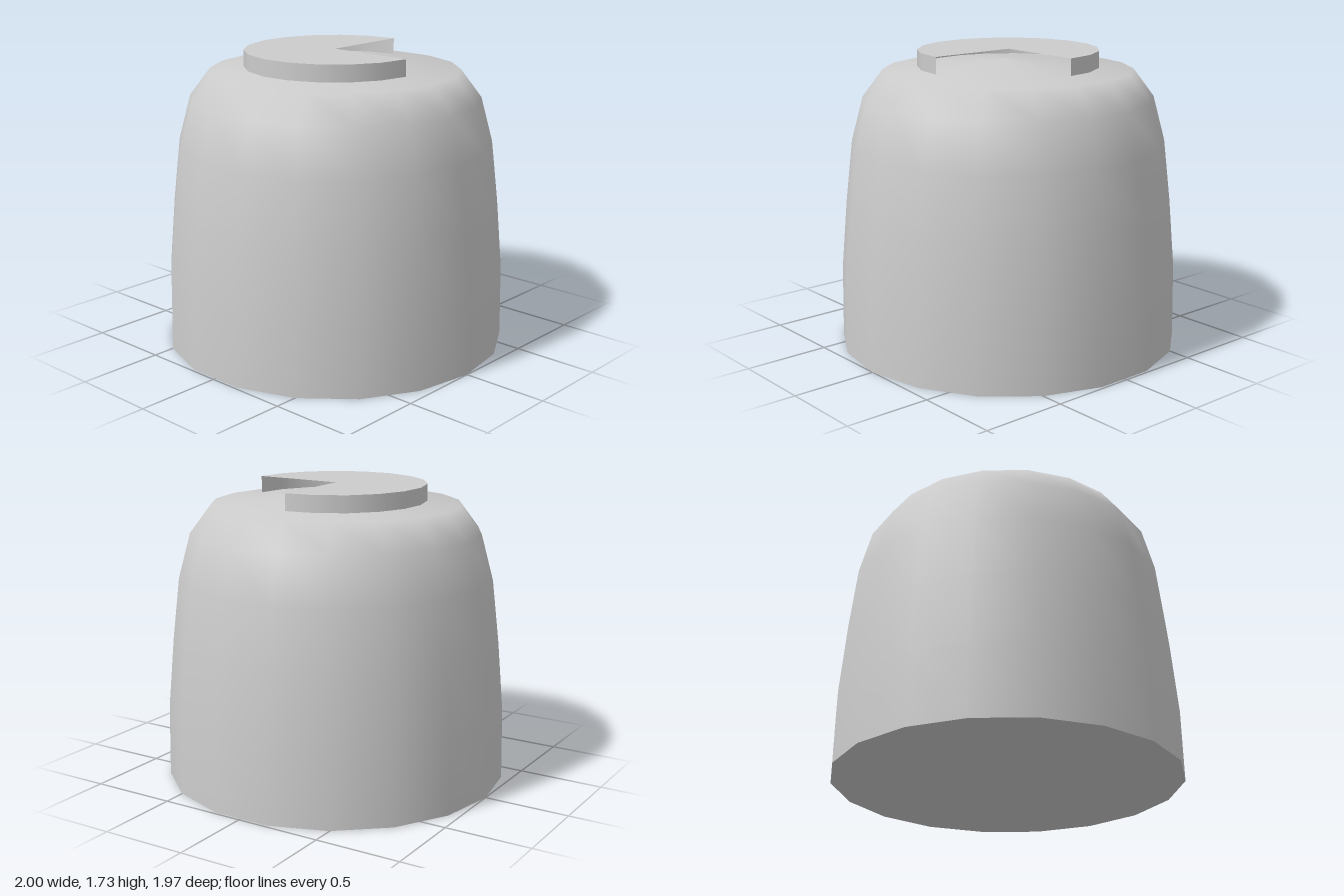
import * as THREE from 'three';

const SIDES = 18;

export function createModel() {
  const group = new THREE.Group();
  const grey = new THREE.MeshStandardMaterial({ color: 0xcccccc, side: THREE.DoubleSide });
  grey.name = 'light grey';

  const add = (name, geometry) => {
    const mesh = new THREE.Mesh(geometry, grey);
    mesh.name = name;
    group.add(mesh);
    return mesh;
  };

  // Domed body: tapering wall, rounded shoulder and shallow conical top
  const profile = [
    [1, 0], [0.993, 0.42], [0.957, 0.83], [0.915, 1.19],
    [0.845, 1.45], [0.725, 1.61], [0, 1.67],
  ].map(([r, y]) => new THREE.Vector2(r, y));
  add('body', new THREE.LatheGeometry(profile, SIDES, Math.PI / 2));

  // Flat underside
  add('base', new THREE.CircleGeometry(1, SIDES)).rotation.x = Math.PI / 2;

  // Three-quarter disc on top, open along its two cut sides
  const bottom = 1.628, top = 1.725;
  const disc = new THREE.CylinderGeometry(
    0.525, 0.525, top - bottom, 14, 1, false, Math.PI, Math.PI * 1.5);
  add('topDisc', disc).position.y = (top + bottom) / 2;

  return group;
}
